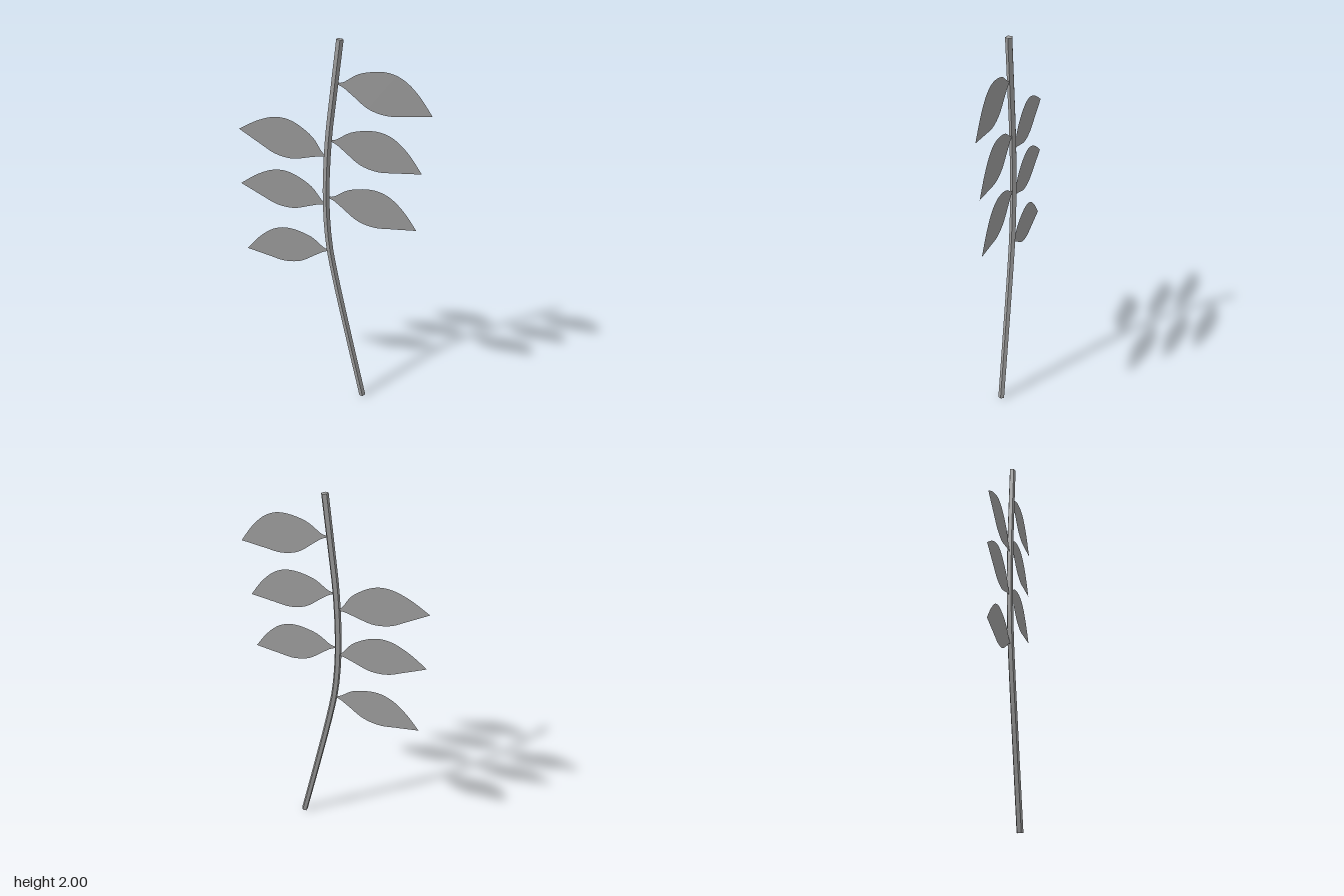
import * as THREE from 'three';

const color = 0x9c9c9c;
const material = new THREE.MeshStandardMaterial({ color, flatShading: true });
const leafMaterial = new THREE.MeshStandardMaterial({ color, side: THREE.DoubleSide });
const points = (list) => list.map(([x, y]) => new THREE.Vector2(x, y));

// Five-sided stem swept along a gentle bend, straight in its lower part
function createStem() {
  const path = new THREE.CatmullRomCurve3(
    [[0.192, 0.004], [0.1, 0.42], [0.03, 0.75], [-0.005, 0.95], [-0.02, 1.2],
      [-0.009, 1.5], [0.018, 1.75], [0.047, 1.998]].map(([x, y]) => new THREE.Vector3(x, y, 0)),
  );
  const section = new THREE.Shape(Array.from({ length: 5 }, (_, i) => {
    const a = -Math.PI / 2 + (i * Math.PI * 2) / 5;
    return new THREE.Vector2(Math.cos(a) * 0.0175, Math.sin(a) * 0.0175);
  }));
  const stem = new THREE.Mesh(
    new THREE.ExtrudeGeometry(section, { steps: 24, extrudePath: path }), material);
  stem.name = 'stem';
  return stem;
}

// Flat blade growing along +x, fuller on its upper edge
function createLeafGeometry() {
  const shape = new THREE.Shape();
  shape.moveTo(0, 0.004);
  shape.splineThru(points([[0.03, 0.016], [0.095, 0.08], [0.2, 0.124], [0.29, 0.12],
    [0.38, 0.073], [0.467, 0]]));
  shape.splineThru(points([[0.35, -0.042], [0.264, -0.07], [0.173, -0.068],
    [0.085, -0.031], [0.035, -0.01], [0, -0.004]]));
  return new THREE.ShapeGeometry(shape, 4);
}

export function createModel() {
  const model = new THREE.Group();
  model.name = 'leafyTwig';

  // The whole twig lies in one upright plane, turned about y
  const twig = new THREE.Group();
  twig.name = 'twig';
  twig.rotation.y = THREE.MathUtils.degToRad(-25);
  model.add(twig);
  twig.add(createStem());

  // Leaves: side, base x, base y, tilt of the tip in degrees
  const leafGeometry = createLeafGeometry();
  [
    ['left', 0.033, 1.795, -13.7],
    ['left', 0, 1.511, -14],
    ['left', -0.01, 1.209, -14],
    ['right', -0.014, 1.424, 10.7],
    ['right', -0.015, 1.168, 5.8],
    ['right', -0.002, 0.905, -8.7],
  ].forEach(([side, x, y, tilt], i) => {
    const leaf = new THREE.Mesh(leafGeometry, leafMaterial);
    leaf.name = `${side}Leaf${(i % 3) + 1}`;
    leaf.position.set(x, y, 0);
    leaf.rotation.set(0, side === 'right' ? Math.PI : 0, THREE.MathUtils.degToRad(tilt));
    twig.add(leaf);
  });
  return model;
}
